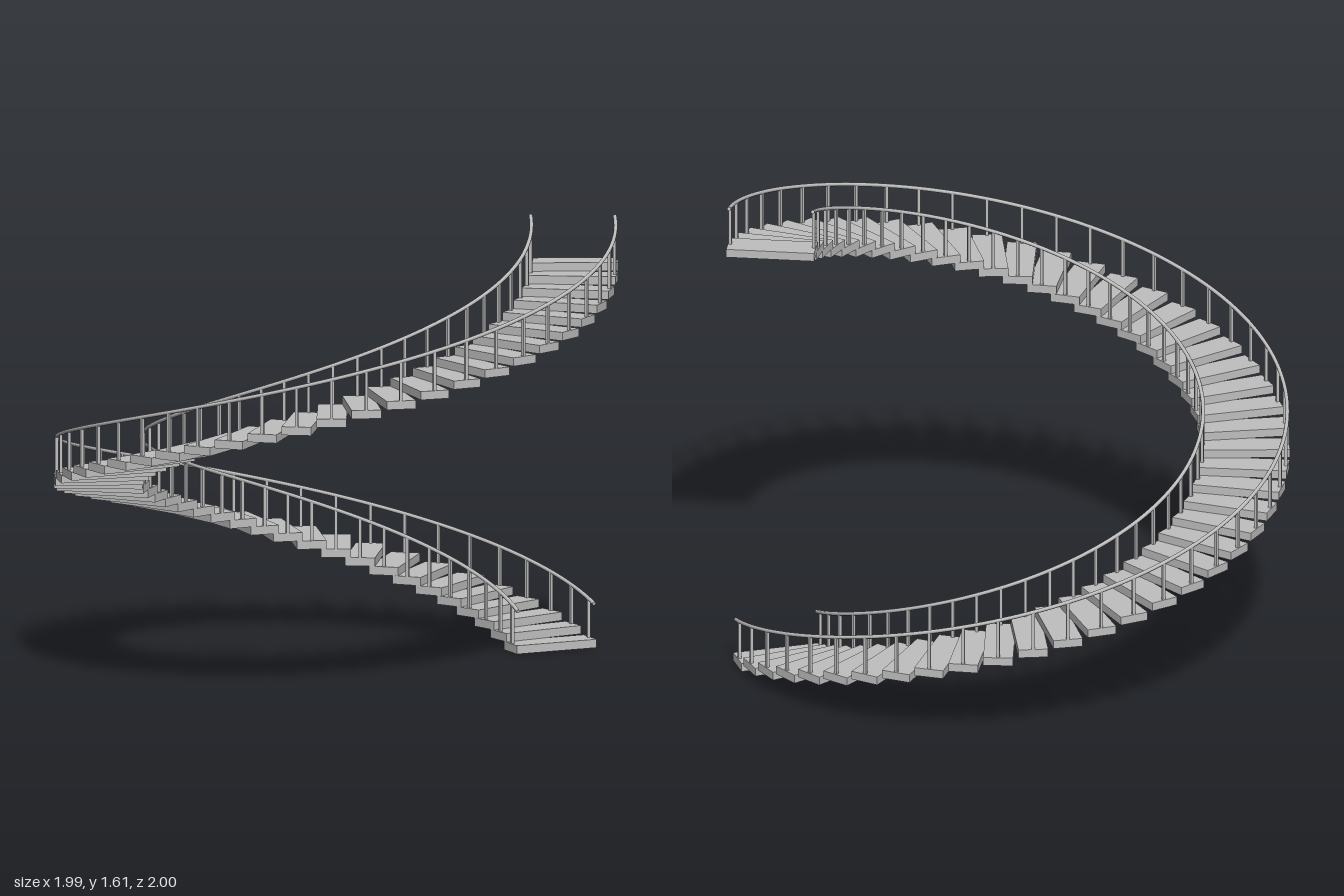
import * as THREE from 'three';

const STEPS = 48;          // number of treads
const TURN = 0.125;        // radians between treads
const RISE = 1.451 / STEPS;
const R_IN = 0.683, R_OUT = 0.9965;
const DEPTH = 0.106;       // tread depth
const RAIL_Y = 0.17;       // handrail height above the bottom of its tread
const RAIL_R = 0.007;

// point on the helix; k counts treads and may be fractional
function helixPoint(k, radius, y) {
  const a = k * TURN;
  return new THREE.Vector3(Math.cos(a) * radius, y + k * RISE, -Math.sin(a) * radius);
}

class HelixCurve extends THREE.Curve {
  constructor(radius, from, to) {
    super();
    this.radius = radius;
    this.from = from;
    this.to = to;
  }
  getPoint(t, target = new THREE.Vector3()) {
    return target.copy(helixPoint(this.from + (this.to - this.from) * t, this.radius, RAIL_Y));
  }
}

export function createModel() {
  const model = new THREE.Group();
  model.name = 'helicalStaircase';
  const stone = new THREE.MeshStandardMaterial({ color: 0xbfbfbf });
  stone.name = 'lightGrey';

  const add = (parent, name, geometry) => {
    const mesh = new THREE.Mesh(geometry, stone);
    mesh.name = name;
    parent.add(mesh);
    return mesh;
  };

  // treads: one rectangular slab per step
  const treads = new THREE.Group();
  treads.name = 'treads';
  model.add(treads);
  const treadGeo = new THREE.BoxGeometry(R_OUT - R_IN, RISE, DEPTH);
  for (let k = 0; k < STEPS; k++) {
    const tread = add(treads, 'tread', treadGeo);
    tread.position.copy(helixPoint(k, (R_IN + R_OUT) / 2, RISE / 2));
    tread.rotation.y = k * TURN;
  }

  // inner and outer railings: a post on every tread and a helical handrail
  const postHeight = RAIL_Y - RISE;
  const postGeo = new THREE.BoxGeometry(0.011, postHeight, 0.011);
  const capGeo = new THREE.CircleGeometry(RAIL_R, 8);
  for (const [name, radius] of [['innerRailing', 0.691], ['outerRailing', 0.989]]) {
    const railing = new THREE.Group();
    railing.name = name;
    model.add(railing);

    for (let k = 0; k < STEPS; k++) {
      const post = add(railing, 'baluster', postGeo);
      post.position.copy(helixPoint(k, radius, RISE + postHeight / 2));
      post.rotation.y = k * TURN;
    }

    // the handrail runs a little past the first and last posts
    const over = 0.05 / radius / TURN;
    const curve = new HelixCurve(radius, -over, STEPS - 1 + over * 0.8);
    add(railing, 'handrail', new THREE.TubeGeometry(curve, STEPS * 3, RAIL_R, 8, false));
    for (const t of [0, 1]) {
      const end = curve.getPoint(t);
      const cap = add(railing, 'handrailEnd', capGeo);
      cap.position.copy(end);
      cap.lookAt(end.clone().addScaledVector(curve.getTangent(t), t ? 1 : -1));
    }
  }
  return model;
}
